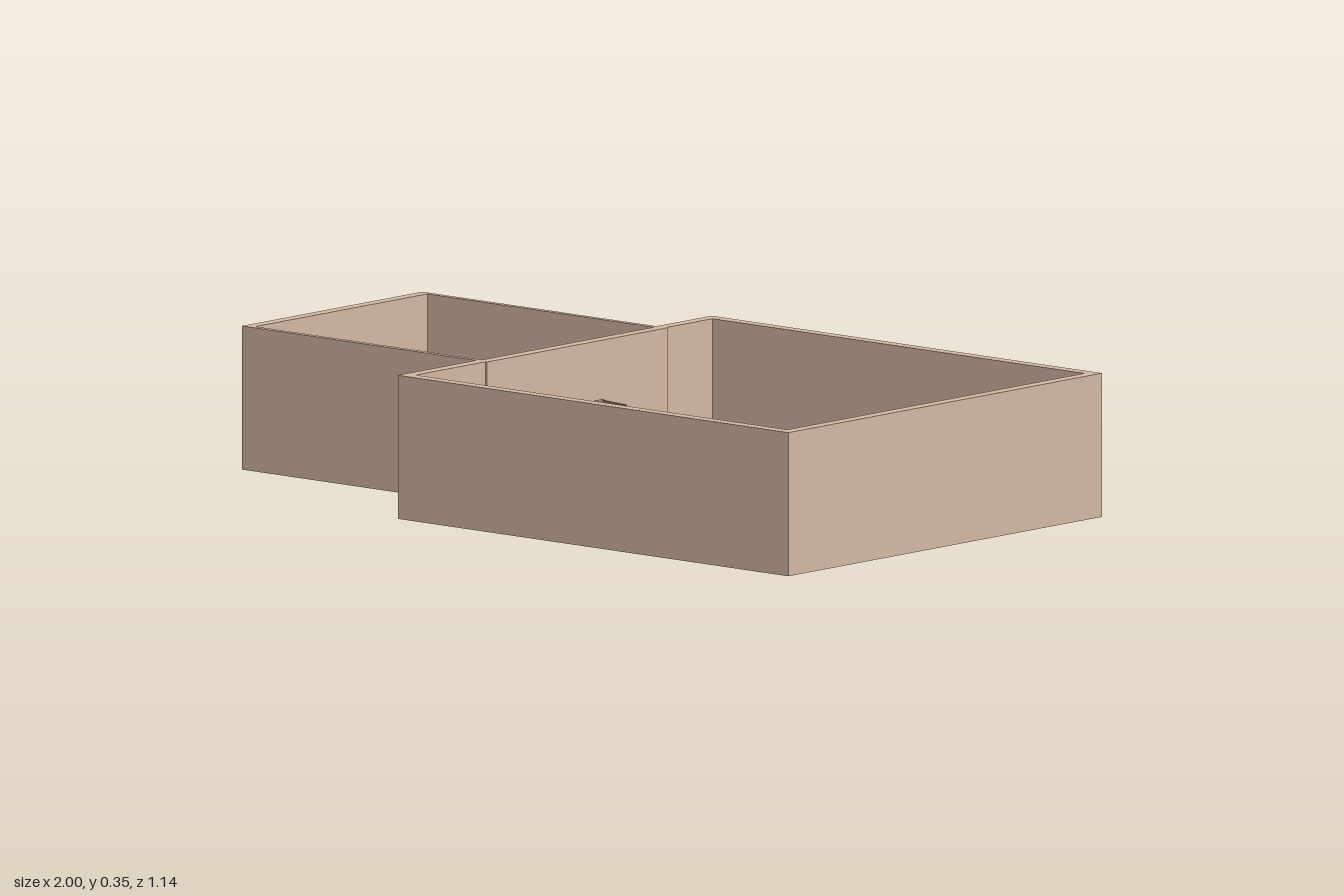
import * as THREE from 'three';

const wallMat = new THREE.MeshStandardMaterial({ color: 0xd2b8a2 });
const doorMat = new THREE.MeshStandardMaterial({ color: 0x9a7d68 });
const handleMat = new THREE.MeshStandardMaterial({ color: 0x55504c });

const FLOOR = 0.03, LINTEL = 0.205, TOP = 0.35;

// Plan points are [x, z]; the plan is drawn with z flipped, then laid flat.
const toPoints = (plan) => plan.map(([x, z]) => new THREE.Vector2(x, -z));

function planTier(name, outline, holes, y0, y1) {
  const shape = new THREE.Shape(toPoints(outline));
  holes.forEach((h) => shape.holes.push(new THREE.Path(toPoints(h))));
  const geo = new THREE.ExtrudeGeometry(shape, { depth: y1 - y0, bevelEnabled: false });
  geo.rotateX(-Math.PI / 2);
  geo.translate(0, y0, 0);
  const mesh = new THREE.Mesh(geo, wallMat);
  mesh.name = name;
  return mesh;
}

function box(name, mat, size, pos) {
  const mesh = new THREE.Mesh(new THREE.BoxGeometry(...size), mat);
  mesh.name = name;
  mesh.position.set(...pos);
  return mesh;
}

export function createModel() {
  const model = new THREE.Group();
  model.name = 'twoRoomBuilding';

  // Outer footprint: large room with a smaller one on its right
  const outline = [
    [-0.25, -0.57], [1, -0.57], [1, 0.57], [-0.25, 0.57],
    [-0.25, 0.285], [-1, 0.285], [-1, -0.37], [-0.25, -0.37],
  ];
  // Room interiors; the shared wall is slightly thicker than the others
  const largeStart = [[-0.215, 0.285], [-0.22, 0.285], [-0.22, 0.54], [0.97, 0.54],
    [0.97, -0.54], [-0.22, -0.54], [-0.22, -0.37], [-0.215, -0.37]];
  const smallRoom = [[-0.245, -0.355], [-0.97, -0.355], [-0.97, 0.27], [-0.245, 0.27]];
  const doorBack = -0.14, doorFront = -0.03;
  // Below the lintel the doorway joins both interiors into one
  const joined = [
    ...largeStart, [-0.215, doorBack], [-0.245, doorBack],
    ...smallRoom, [-0.245, doorFront], [-0.215, doorFront],
  ];

  model.add(planTier('floor', outline, [], 0, FLOOR));
  model.add(planTier('lowerWalls', outline, [joined], FLOOR, LINTEL));
  model.add(planTier('upperWalls', outline, [largeStart, smallRoom], LINTEL, TOP));

  // Door leaf standing open into the large room, hinged at the back jamb
  const door = new THREE.Group();
  door.name = 'door';
  door.position.set(-0.215, FLOOR, doorBack + 0.002);
  door.rotation.y = -0.16;
  const h = LINTEL - FLOOR - 0.003;
  door.add(box('doorLeaf', doorMat, [0.086, h, 0.005], [0.043, h / 2 + 0.001, 0]));
  // Lever handles on both faces
  for (const side of [-1, 1]) {
    const spindle = new THREE.Mesh(new THREE.CylinderGeometry(0.002, 0.002, 0.01, 10), handleMat);
    spindle.name = 'handleSpindle';
    spindle.rotation.x = Math.PI / 2;
    spindle.position.set(0.078, 0.085, side * 0.007);
    door.add(spindle);
    door.add(box('handleLever', handleMat, [0.022, 0.004, 0.003], [0.069, 0.085, side * 0.012]));
  }
  model.add(door);
  return model;
}
